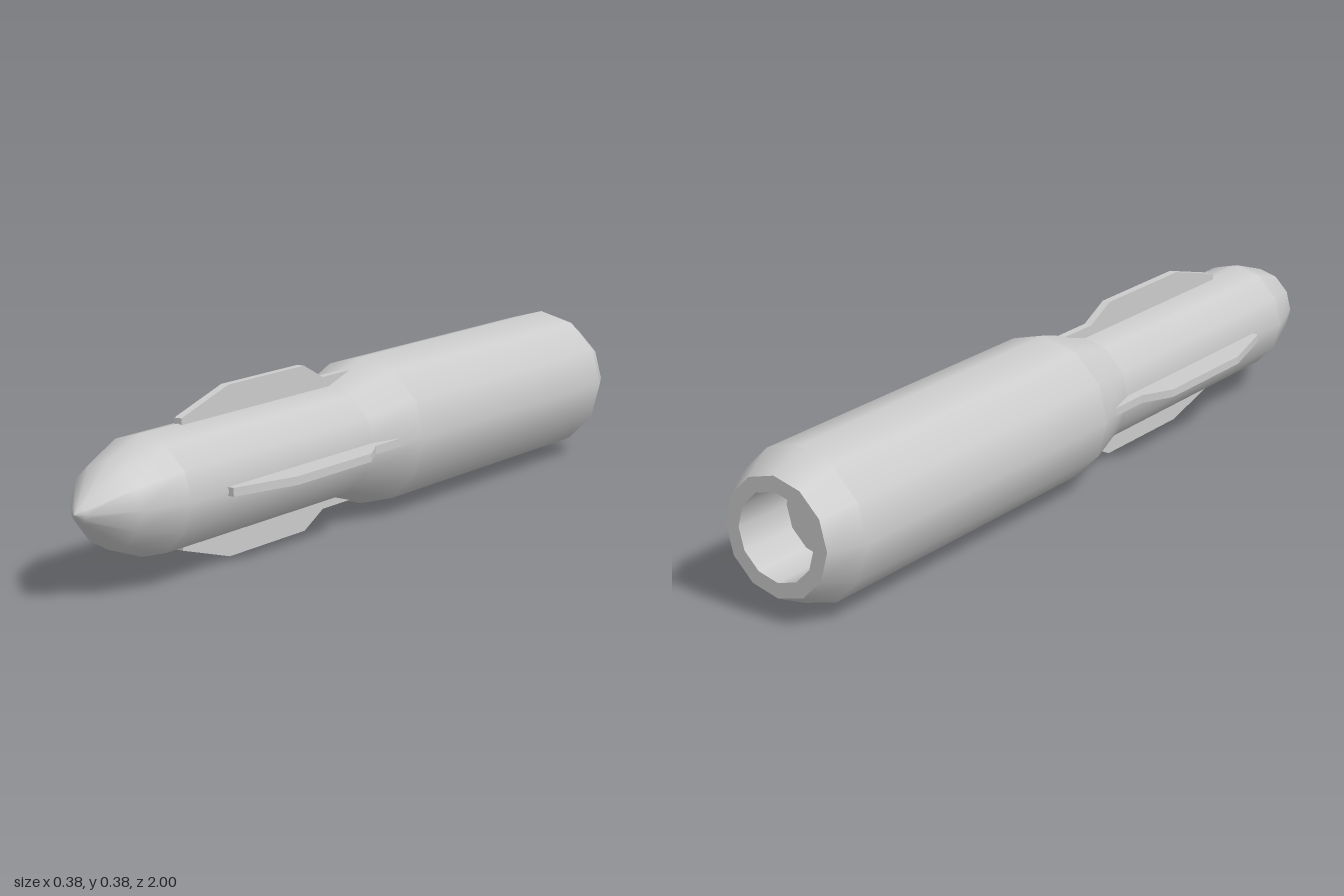
import * as THREE from 'three';

const SIDES = 12;
const AXIS_Y = 0.19;

export function createModel() {
  const group = new THREE.Group();
  const material = new THREE.MeshStandardMaterial({ color: 0xcccccc });

  // Each section is a [radius, z] profile turned about the long axis;
  // separate sections keep the edges between them sharp.
  const sections = {
    boreFloor: [[0, -0.85], [0.1, -0.85]],
    bore: [[0.1, -0.85], [0.1, -1]],
    rearRim: [[0.1, -1], [0.135, -1]],
    rearChamfer: [[0.135, -1], [0.174, -0.92]],
    rearBody: [[0.174, -0.92], [0.174, -0.06]],
    shoulder: [[0.174, -0.06], [0.131, 0.09]],
    frontBody: [[0.131, 0.09], [0.131, 0.78]],
    nose: [[0.131, 0.78], [0.092, 0.895], [0.02, 0.985], [0, 1]],
  };
  for (const [name, profile] of Object.entries(sections)) {
    const points = profile.map(([r, z]) => new THREE.Vector2(r, z));
    const geometry = new THREE.LatheGeometry(points, SIDES).rotateX(Math.PI / 2);
    const mesh = new THREE.Mesh(geometry, material);
    mesh.name = name;
    mesh.position.y = AXIS_Y;
    group.add(mesh);
  }

  // Four thin fins around the front body: outline as (z, radius)
  const outline = [
    [-0.02, 0.11], [0.65, 0.11], [0.65, 0.143], [0.48, 0.19],
    [0.19, 0.19], [0.115, 0.153], [-0.02, 0.153],
  ];
  const finShape = new THREE.Shape(outline.map(([z, r]) => new THREE.Vector2(z, r)));
  const thickness = 0.019;
  const finGeometry = new THREE.ExtrudeGeometry(finShape, { depth: thickness, bevelEnabled: false })
    .translate(0, 0, -thickness / 2)
    .rotateY(-Math.PI / 2);
  ['topFin', 'rightFin', 'bottomFin', 'leftFin'].forEach((name, i) => {
    const fin = new THREE.Mesh(finGeometry, material);
    fin.name = name;
    fin.position.y = AXIS_Y;
    fin.rotation.z = (i * Math.PI) / 2;
    group.add(fin);
  });

  return group;
}
